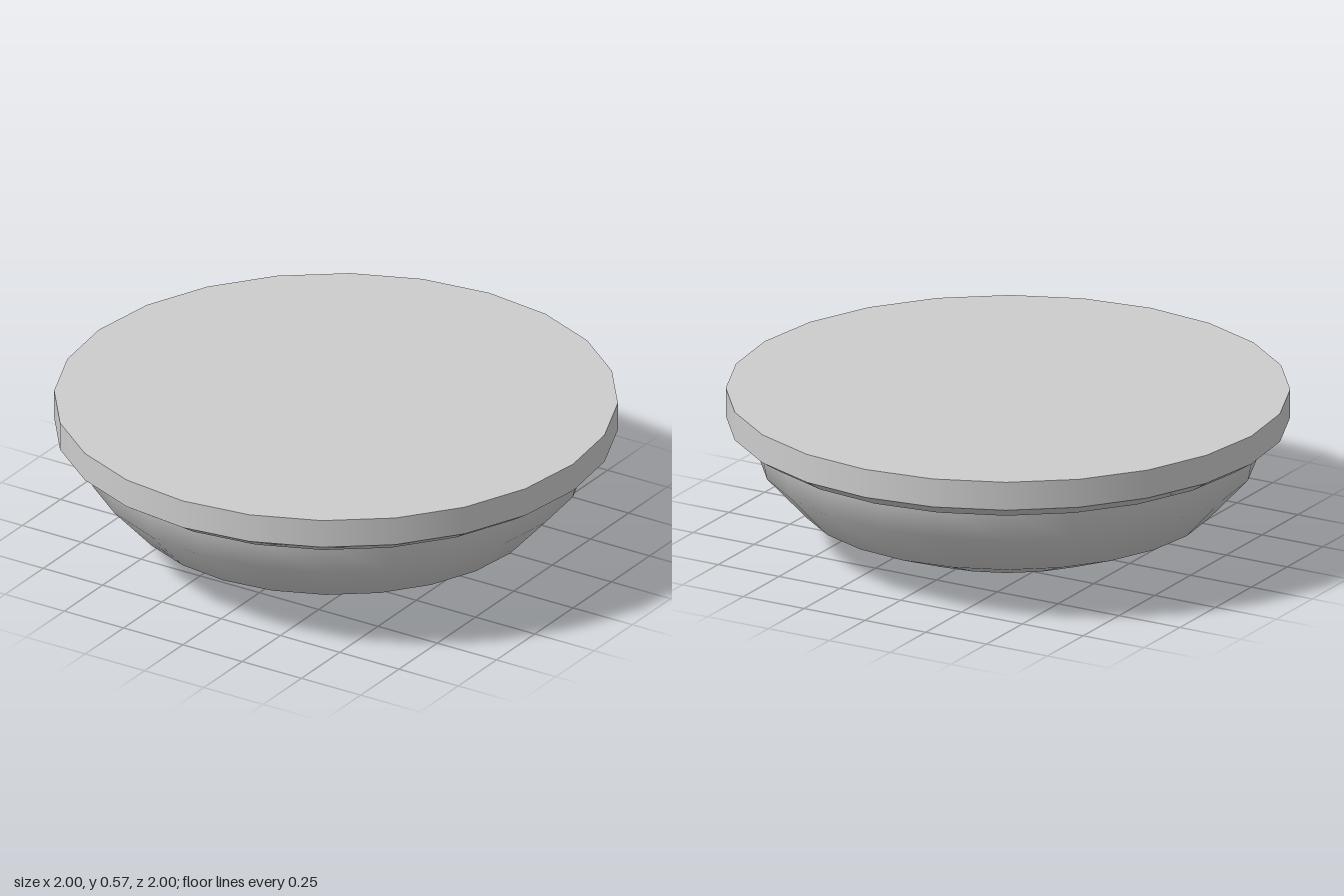
import * as THREE from 'three';

const SIDES = 24;

// Revolved surface from [radius, height] pairs listed bottom to top
function lathe(name, profile, material) {
  const points = profile.map(([r, y]) => new THREE.Vector2(r, y));
  const mesh = new THREE.Mesh(new THREE.LatheGeometry(points, SIDES), material);
  mesh.name = name;
  return mesh;
}

export function createModel() {
  const group = new THREE.Group();
  group.name = 'domedCap';
  const grey = new THREE.MeshStandardMaterial({ color: 0xcccccc });
  grey.name = 'light grey';

  // Smooth shallow bowl underneath
  group.add(lathe('bowl', [[0, 0], [0.47, 0.04], [0.735, 0.145], [0.882, 0.305], [0.905, 0.417]], grey));

  // Sloped underside of the rim
  group.add(lathe('rimUnderside', [[0.9, 0.415], [0.93, 0.417], [1, 0.462]], grey));

  // Upright rim band
  group.add(lathe('rimBand', [[1, 0.462], [1, 0.567]], grey));

  // Flat lid
  const lid = new THREE.Mesh(new THREE.CircleGeometry(1, SIDES), grey);
  lid.name = 'lid';
  lid.rotation.x = -Math.PI / 2;
  lid.position.y = 0.567;
  group.add(lid);

  return group;
}
